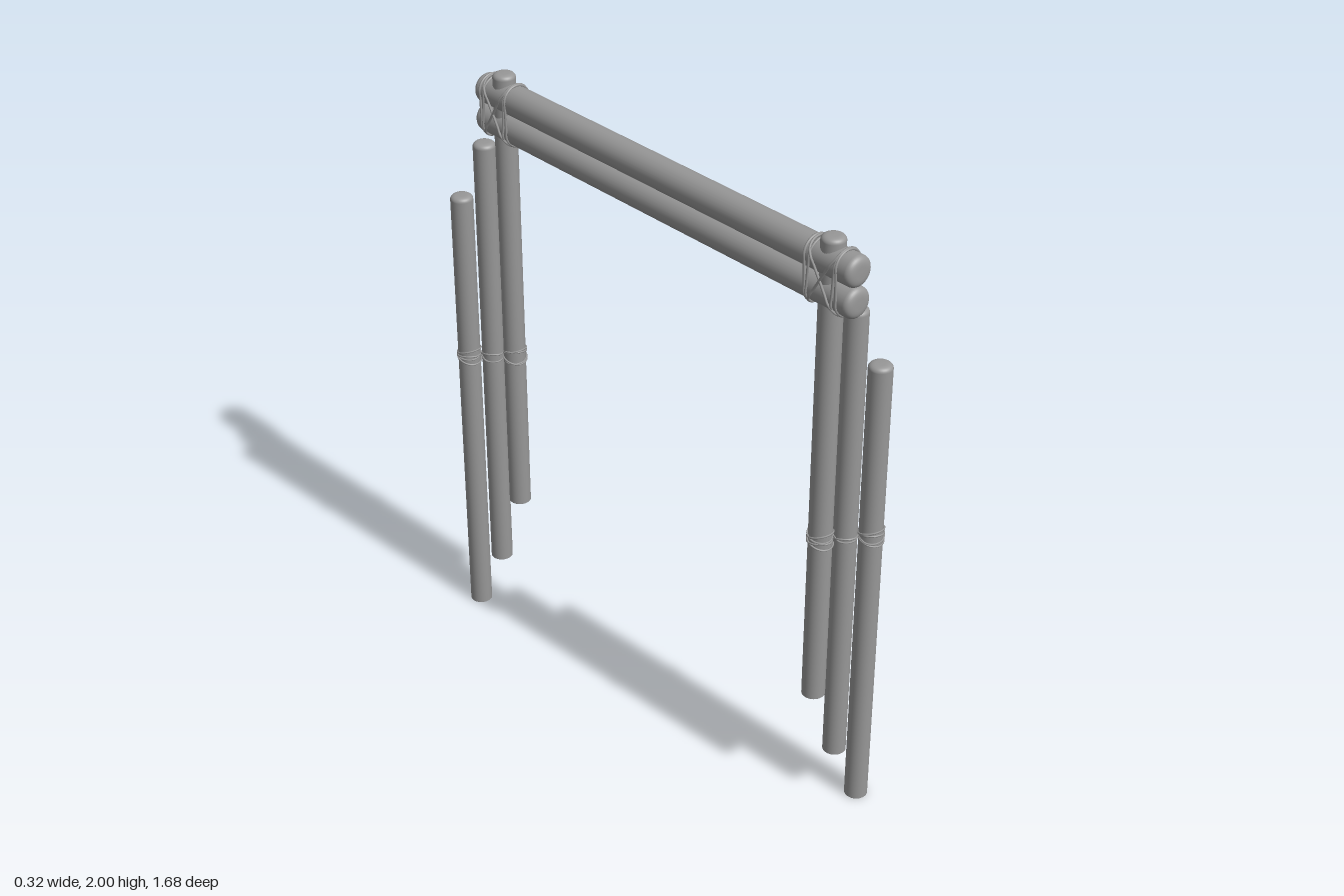
import * as THREE from 'three';

const V3 = THREE.Vector3;
const material = new THREE.MeshStandardMaterial({ color: 0x979797 });

function add(parent, name, geometry) {
  const mesh = new THREE.Mesh(geometry, material);
  mesh.name = name;
  parent.add(mesh);
  return mesh;
}

// Round pole standing on its base, with a soft dome on top and, if asked, below
function poleGeometry(radius, length, domeHeight, bothEnds) {
  const dome = [];
  for (let i = 0; i <= 10; i++) {
    const a = Math.PI / 2 * i / 10;
    dome.push([radius * Math.sqrt(Math.max(0, Math.cos(a))), domeHeight * (1 - Math.sin(a))]);
  }
  dome[10][0] = 0;
  const bottom = bothEnds
    ? dome.slice().reverse()
    : [[0, 0], [radius - 0.0005, 0], [radius, 0.0005], [radius, 0.002]];
  const top = dome.map(([r, y]) => [r, length - y]);
  return new THREE.LatheGeometry([...bottom, ...top].map(([r, y]) => new THREE.Vector2(r, y)), 32);
}

function rope(parent, name, points, radius) {
  const curve = new THREE.CatmullRomCurve3(points, true, 'centripetal');
  return add(parent, name, new THREE.TubeGeometry(curve, 110, radius, 7, true));
}

// Rope loop over both beams; slant moves it along z from bottom to top
function beamLoop(parent, name, x, z, slant, grow = 0) {
  const points = [];
  const r = 0.0495 + grow;
  for (const [cy, start] of [[1.925, -0.25], [1.825, Math.PI - 0.25]]) {
    for (let i = 0; i <= 8; i++) {
      const a = start + (Math.PI + 0.5) * i / 8;
      const y = cy + Math.sin(a) * r;
      const t = THREE.MathUtils.clamp((y - 1.875) / 0.09, -1, 1);
      points.push(new V3(x + Math.cos(a) * r, y, z + slant * t));
    }
  }
  rope(parent, name, points, 0.004);
}

// Rope woven in and out around a row of three poles
function weave(parent, centers, y, tilt, flip) {
  const along = centers[2].clone().sub(centers[0]).normalize();
  const across = new V3(-along.z, 0, along.x).multiplyScalar(flip);
  const r = 0.0385, points = [];
  const put = (index, degrees) => {
    const a = degrees * Math.PI / 180;
    const p = centers[index].clone().addScaledVector(along, Math.cos(a) * r).addScaledVector(across, Math.sin(a) * r);
    p.y = y + tilt * (index - 1) + 0.01 * Math.sin(a);
    points.push(p);
  };
  [180, 135, 90, 50].forEach(a => put(0, a));
  [-130, -90, -50].forEach(a => put(1, a));
  [130, 90, 45, 0, -45, -90, -130].forEach(a => put(2, a));
  [50, 90, 130].forEach(a => put(1, a));
  [-50, -90, -135].forEach(a => put(0, a));
  rope(parent, 'wovenLashing', points, 0.003);
}

// Three stepped poles tied together at mid height
function createLeg(name, inner, middle, outer) {
  const leg = new THREE.Group();
  leg.name = name;
  const parts = [['innerPole', inner, 0.417], ['middlePole', middle, 0.184], ['outerPole', outer, 0]];
  for (const [part, [x, z], base] of parts) {
    add(leg, part, poleGeometry(0.0365, 1.583, 0.016, false)).position.set(x, base, z);
  }
  const centers = parts.map(([, [x, z]]) => new V3(x, 0, z));
  weave(leg, centers, 0.995, 0.008, 1);
  weave(leg, centers, 1.003, -0.008, -1);
  // Extra turns around the end poles
  for (const c of [centers[0], centers[2]]) {
    for (const side of [-1, 1]) {
      const points = [];
      for (let i = 0; i < 16; i++) {
        const a = i * Math.PI / 8;
        points.push(new V3(c.x + Math.cos(a) * 0.0385, 1 + side * (0.013 + 0.013 * Math.sin(a)), c.z + Math.sin(a) * 0.0385));
      }
      rope(leg, 'poleTurn', points, 0.003);
    }
  }
  return leg;
}

export function createModel() {
  const model = new THREE.Group();
  model.name = 'lashedPoleFrame';
  const x = -0.006, frontZ = 0.71, backZ = -0.698;

  // Two stacked crossbeams
  for (const [name, y] of [['upperBeam', 1.923], ['lowerBeam', 1.826]]) {
    const beam = add(model, name, poleGeometry(0.0485, 1.617, 0.022, true));
    beam.rotation.x = Math.PI / 2;
    beam.position.set(x, y, -0.798);
  }

  // Legs at both ends, stepping out to opposite sides
  model.add(createLeg('frontLeg', [x, frontZ], [0.058, 0.749], [0.117, 0.797]));
  model.add(createLeg('backLeg', [x, backZ], [-0.058, -0.745], [-0.117, -0.797]));

  // Crossed lashings that tie the beams to the legs
  for (const z of [frontZ, backZ]) {
    const lashing = new THREE.Group();
    lashing.name = 'beamLashing';
    model.add(lashing);
    for (const side of [-1, 1]) {
      beamLoop(lashing, 'straightTurn', x, z + side * 0.048, 0.005);
      beamLoop(lashing, 'straightTurn', x, z + side * 0.06, -0.004);
      beamLoop(lashing, 'crossedTurn', x, z, side * 0.053, 0.002);
    }
  }
  return model;
}
